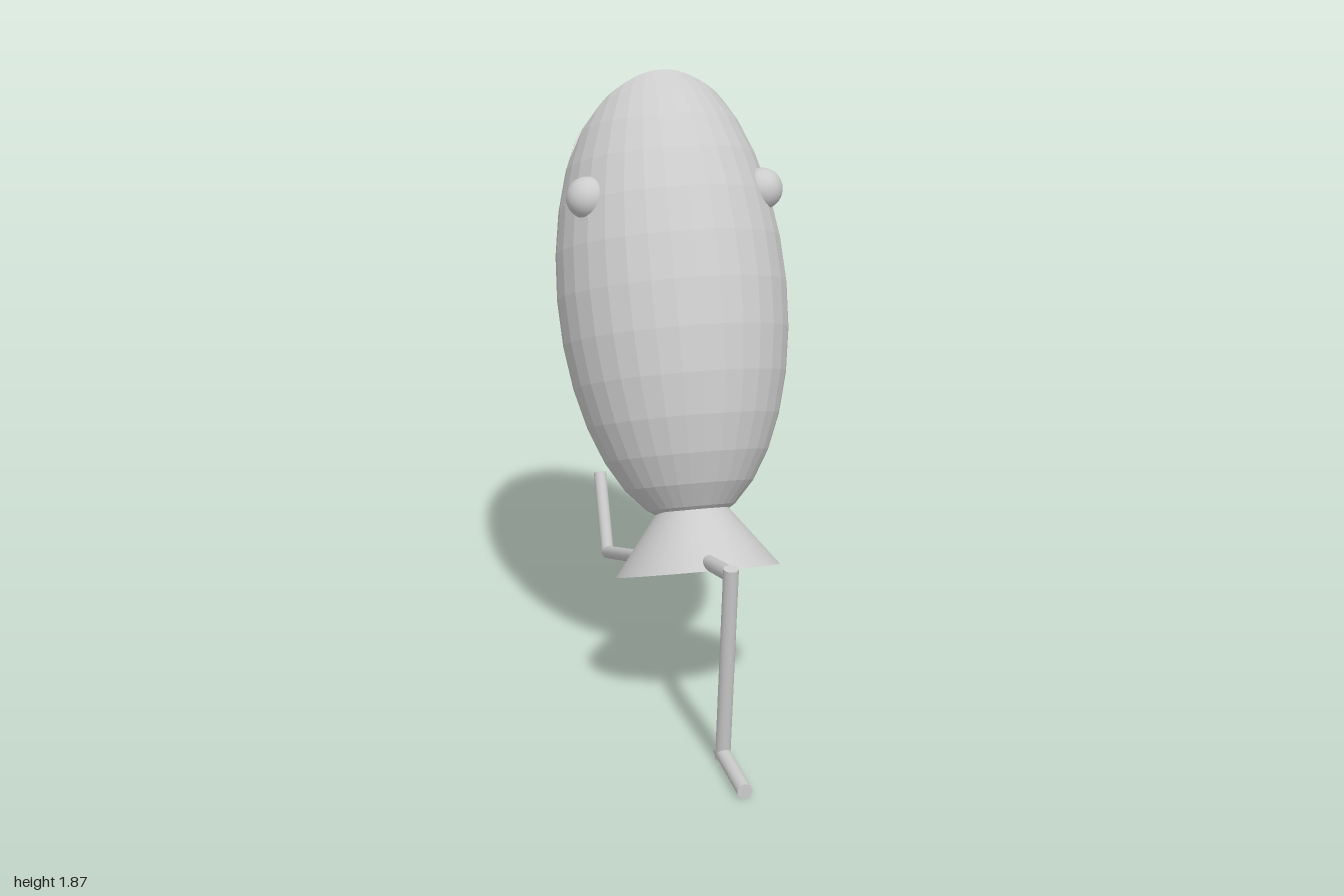
import * as THREE from 'three';

const material = new THREE.MeshStandardMaterial({ color: 0xcccccc });
const flatMaterial = new THREE.MeshStandardMaterial({ color: 0xcccccc, flatShading: true, side: THREE.DoubleSide });
const TILT = -THREE.MathUtils.degToRad(22); // body leans backwards
const V = (x, y, z) => new THREE.Vector3(x, y, z);

function addMesh(parent, name, geometry, mat = material) {
  const mesh = new THREE.Mesh(geometry, mat);
  mesh.name = name;
  parent.add(mesh);
  return mesh;
}

// Split a convex polygon into the parts in front of and behind a plane
function split(poly, plane) {
  const front = [], back = [];
  poly.forEach((a, i) => {
    const b = poly[(i + 1) % poly.length];
    const da = plane.distanceToPoint(a), db = plane.distanceToPoint(b);
    if (da >= 0) front.push(a);
    if (da <= 0) back.push(a);
    if (da * db < 0) {
      const p = a.clone().lerp(b, da / (da - db));
      front.push(p);
      back.push(p);
    }
  });
  return [front, back];
}

// Order the points of a flat convex cap around its normal
function sortAround(points, normal) {
  const c = points.reduce((s, p) => s.add(p), V(0, 0, 0)).divideScalar(points.length);
  const u = V(1, 0, 0), w = normal.clone().cross(u);
  const angle = p => Math.atan2(p.clone().sub(c).dot(w), p.clone().sub(c).dot(u));
  return points.sort((a, b) => angle(a) - angle(b));
}

// Leaning ellipsoid with a wedge-shaped open mouth
function bodyGeometry() {
  const cols = 32, rows = 16;
  const point = (i, j) => {
    const phi = Math.PI * i / rows, theta = 2 * Math.PI * j / cols;
    return V(0.35 * Math.sin(phi) * Math.sin(theta), 0.71 * Math.cos(phi), 0.35 * Math.sin(phi) * Math.cos(theta))
      .applyAxisAngle(V(1, 0, 0), TILT).add(V(0, 1.22, 0.035));
  };
  const corner = V(0, 1.605, -0.125); // corner of the mouth
  const jawPlane = (y, z) => new THREE.Plane().setFromNormalAndCoplanarPoint(V(0, y, z).normalize(), corner);
  const upper = jawPlane(-0.035, 0.265), lower = jawPlane(-0.22, -0.16);
  const polys = [], upperCap = [], lowerCap = [];
  for (let i = 0; i < rows; i++) {
    for (let j = 0; j < cols; j++) {
      const quad = [point(i, j), point(i + 1, j), point(i + 1, j + 1), point(i, j + 1)];
      const [keepUpper, rest] = split(quad, upper);
      const [keepLower, removed] = split(rest, lower);
      polys.push(keepUpper, keepLower);
      for (const p of removed) {
        if (Math.abs(upper.distanceToPoint(p)) < 1e-6) upperCap.push(p);
        if (Math.abs(lower.distanceToPoint(p)) < 1e-6) lowerCap.push(p);
      }
    }
  }
  // Caps face into the mouth
  polys.push(sortAround(upperCap, upper.normal.clone().negate()), sortAround(lowerCap, lower.normal.clone().negate()));

  const triangles = [];
  for (const p of polys) {
    for (let k = 1; k + 1 < p.length; k++) {
      const t = new THREE.Triangle(p[0], p[k], p[k + 1]);
      if (t.getArea() > 1e-9) triangles.push(t.a, t.b, t.c);
    }
  }
  const geometry = new THREE.BufferGeometry().setFromPoints(triangles);
  geometry.computeVertexNormals();
  return geometry;
}

// Chain of straight rods through [y, z] points
function addLeg(parent, name, pieces) {
  const leg = new THREE.Group();
  leg.name = name;
  parent.add(leg);
  for (const [part, y0, z0, y1, z1] of pieces) {
    const a = V(-0.022, y0, z0), b = V(-0.022, y1, z1);
    const rod = addMesh(leg, part, new THREE.CylinderGeometry(0.022, 0.022, a.distanceTo(b), 20));
    rod.position.copy(a).lerp(b, 0.5);
    rod.quaternion.setFromUnitVectors(V(0, 1, 0), b.sub(a).normalize());
  }
}

export function createModel() {
  const model = new THREE.Group();
  model.name = 'walkingFish';

  addMesh(model, 'body', bodyGeometry(), flatMaterial);

  // Flared tail, slightly narrower across x
  const tail = addMesh(model, 'tail', new THREE.CylinderGeometry(0.127, 0.291, 0.183, 32));
  tail.position.set(0, 0.524, 0.333);
  tail.rotation.x = TILT;
  tail.scale.x = 0.845;

  for (const side of [-1, 1]) {
    const eye = addMesh(model, side > 0 ? 'leftEye' : 'rightEye', new THREE.SphereGeometry(0.063, 32, 16));
    eye.position.set(side * 0.268, 1.535, 0.075);
  }

  addLeg(model, 'frontLeg', [
    ['thigh', 0.533, 0.5, 0.612, 0.825],
    ['shin', 0.632, 0.832, 0.012, 0.757],
    ['foot', 0.029, 0.735, 0.029, 1.0],
  ]);
  addLeg(model, 'backLeg', [
    ['thigh', 0.378, 0.13, 0.03, -0.85],
    ['foot', 0.018, -0.848, 0.288, -0.975],
  ]);
  return model;
}
